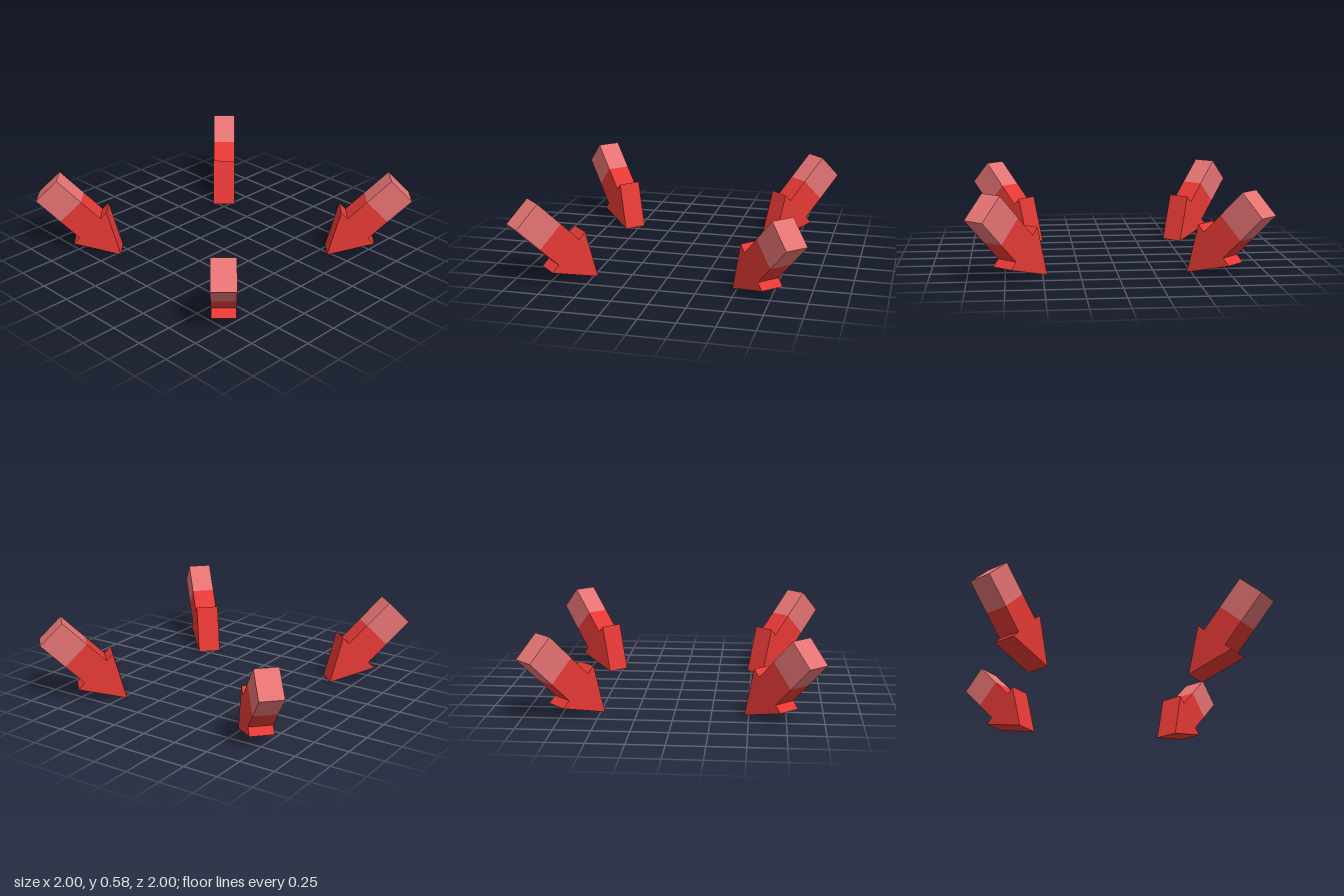
import * as THREE from 'three';

const red = new THREE.MeshStandardMaterial({ color: 0xe53935 });
red.name = 'red';
const paleRed = new THREE.MeshStandardMaterial({ color: 0xe57373 });
paleRed.name = 'paleRed';

const THICK = 0.165;   // plate thickness
const LENGTH = 0.717;  // tip to tail
const HEAD = 0.302;    // length of the pointed head
const SPLIT = 0.487;   // where the pale tail begins
const HEAD_HALF = 0.176;
const SHAFT_HALF = 0.11;
const TIP_RADIUS = 0.747;

// Flat plate from an outline, centred on its thickness
function plate(points, material, name) {
  const shape = new THREE.Shape(points.map(([x, y]) => new THREE.Vector2(x, y)));
  const geometry = new THREE.ExtrudeGeometry(shape, { depth: THICK, bevelEnabled: false });
  geometry.translate(0, 0, -THICK / 2);
  const mesh = new THREE.Mesh(geometry, material);
  mesh.name = name;
  return mesh;
}

// Arrow with its tip at the origin and its shaft running along +x
function makeArrow() {
  const arrow = new THREE.Group();
  arrow.add(plate([
    [0, 0], [HEAD, -HEAD_HALF], [HEAD, -SHAFT_HALF], [SPLIT, -SHAFT_HALF],
    [SPLIT, SHAFT_HALF], [HEAD, SHAFT_HALF], [HEAD, HEAD_HALF],
  ], red, 'arrowHead'));
  arrow.add(plate([
    [SPLIT, -SHAFT_HALF], [LENGTH, -SHAFT_HALF], [LENGTH, SHAFT_HALF], [SPLIT, SHAFT_HALF],
  ], paleRed, 'arrowTail'));
  return arrow;
}

export function createModel() {
  const model = new THREE.Group();
  model.name = 'inwardArrows';
  const names = ['backLeftArrow', 'backRightArrow', 'frontRightArrow', 'frontLeftArrow'];
  names.forEach((name, i) => {
    // Tilt each arrow so it points down and inward, then turn it to its corner
    const arrow = makeArrow();
    arrow.rotation.z = Math.PI / 4;
    arrow.position.x = TIP_RADIUS;
    const corner = new THREE.Group();
    corner.name = name;
    corner.rotation.y = Math.PI / 4 + i * Math.PI / 2;
    corner.add(arrow);
    model.add(corner);
  });
  return model;
}
